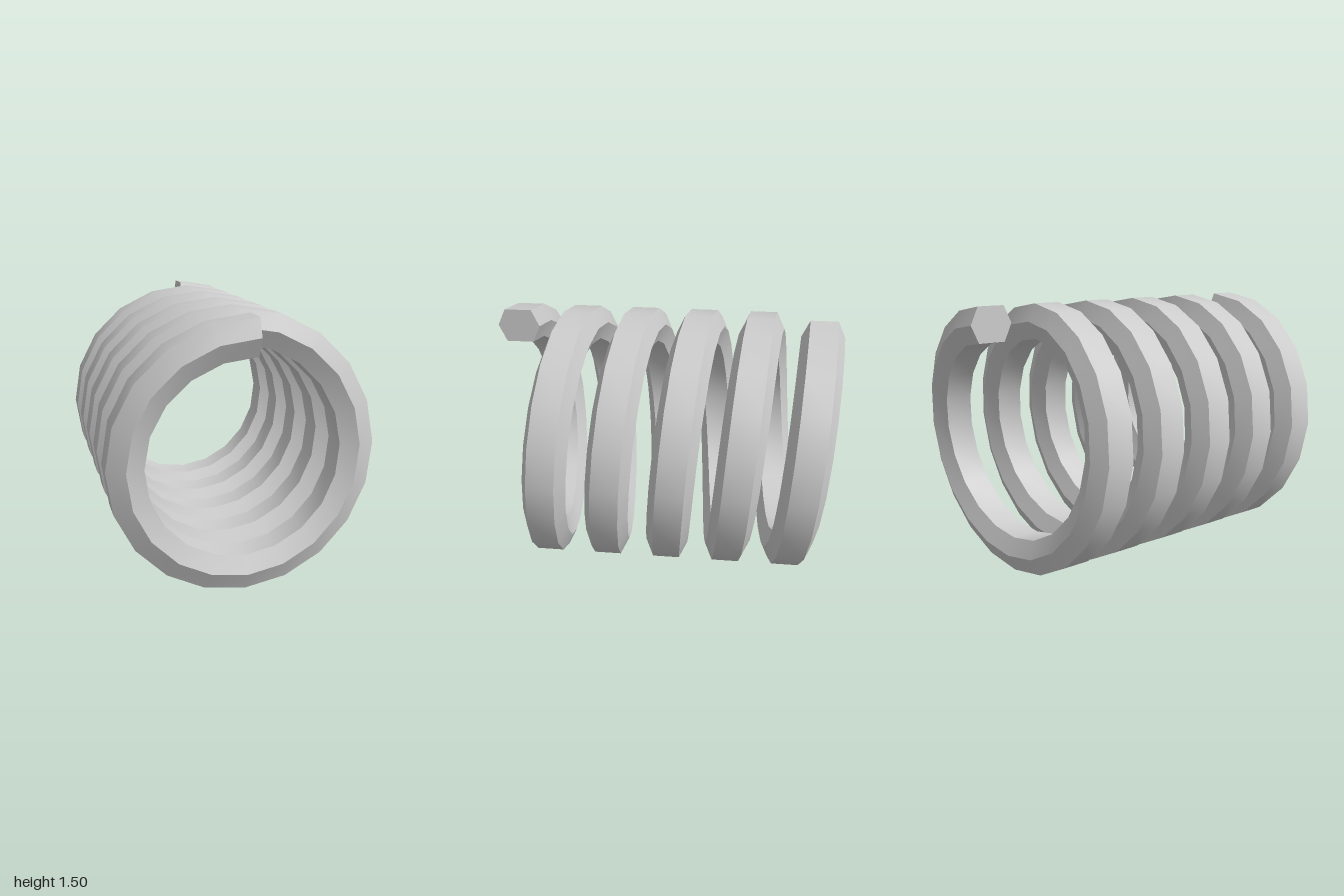
import * as THREE from 'three';

const TURNS = 5, STEPS = 20, PITCH = 0.351;
const CENTRE_Y = 0.75, START_Z = TURNS * PITCH / 2;

// Six-sided wire section: [radius from coil axis, offset along axis]
const SECTION = [
  [0.75, 0.0777], [0.75, -0.0777], [0.654, -0.1225],
  [0.556, -0.0777], [0.556, 0.0777], [0.654, 0.1225],
];

// Point of the section carried to a given step of the helix
function helixPoint([r, dz], step) {
  const t = step / STEPS * Math.PI * 2;
  return [-r * Math.sin(t), CENTRE_Y + r * Math.cos(t), START_Z - PITCH * step / STEPS + dz];
}

function makeGeometry(positions, indices) {
  const g = new THREE.BufferGeometry();
  g.setAttribute('position', new THREE.Float32BufferAttribute(positions, 3));
  g.setIndex(indices);
  g.computeVertexNormals();
  return g;
}

// One long face of the wire: smooth along the coil, sharp at its borders
function wireFace(p, q) {
  const positions = [], indices = [];
  const count = TURNS * STEPS;
  for (let i = 0; i <= count; i++) {
    positions.push(...helixPoint(p, i), ...helixPoint(q, i));
    if (i < count) {
      const a = i * 2;
      indices.push(a, a + 1, a + 2, a + 1, a + 3, a + 2);
    }
  }
  return makeGeometry(positions, indices);
}

// Flat end of the wire
function wireEnd(step, reversed) {
  const ring = reversed ? [...SECTION].reverse() : SECTION;
  const indices = [];
  for (let i = 1; i < ring.length - 1; i++) indices.push(0, i, i + 1);
  return makeGeometry(ring.flatMap((p) => helixPoint(p, step)), indices);
}

export function createModel() {
  const model = new THREE.Group();
  model.name = 'coilSpring';
  const material = new THREE.MeshStandardMaterial({ color: 0xcccccc });
  const add = (name, geometry) => {
    const mesh = new THREE.Mesh(geometry, material);
    mesh.name = name;
    model.add(mesh);
  };

  const names = ['outerFace', 'outerBackBevel', 'innerBackBevel', 'innerFace', 'innerFrontBevel', 'outerFrontBevel'];
  SECTION.forEach((p, j) => add(names[j], wireFace(p, SECTION[(j + 1) % SECTION.length])));
  add('frontEnd', wireEnd(0, true));
  add('backEnd', wireEnd(TURNS * STEPS, false));
  return model;
}
